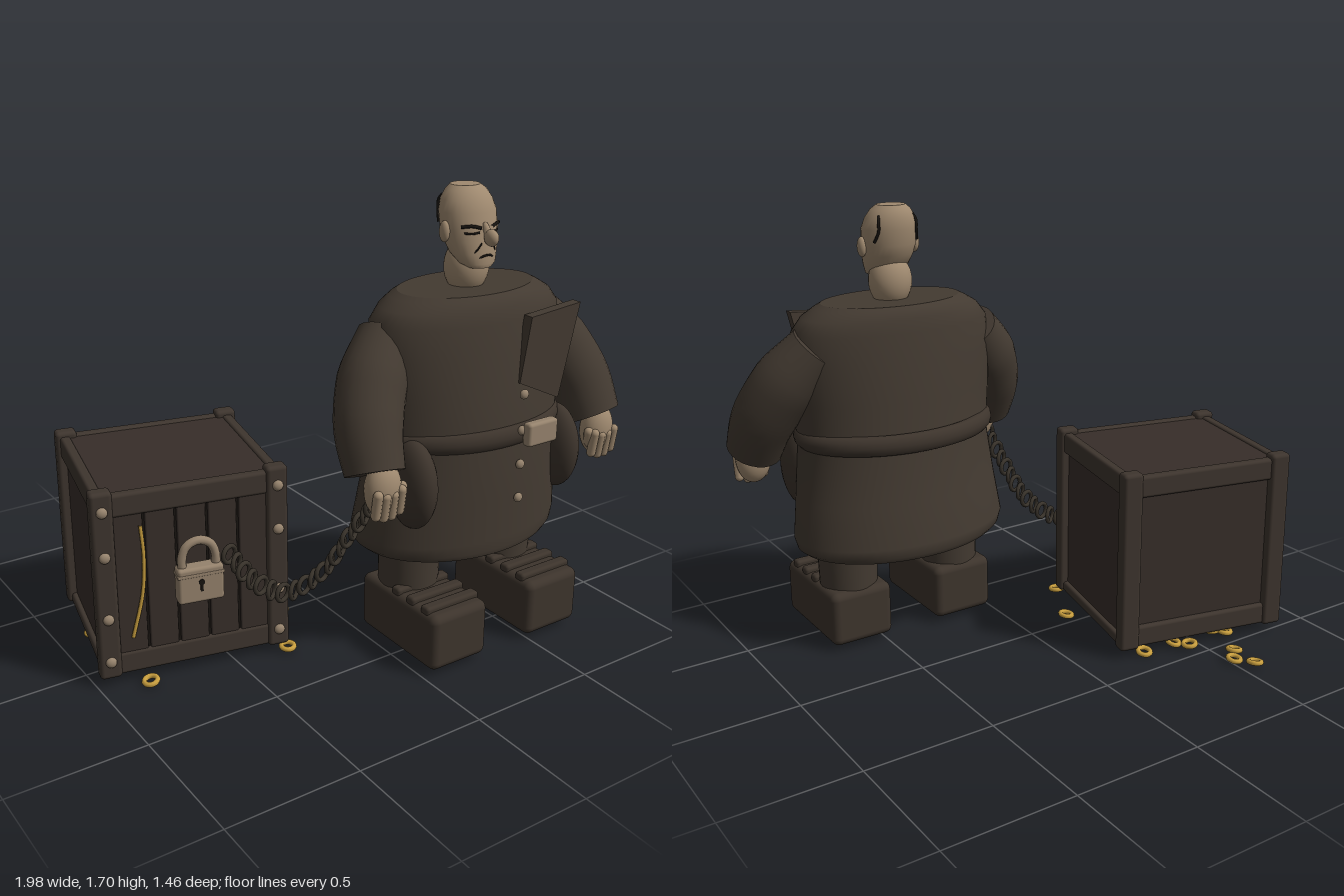
import * as THREE from 'three';
import { RoundedBoxGeometry } from 'three/addons/geometries/RoundedBoxGeometry.js';

const V = (x, y, z) => new THREE.Vector3(x, y, z);
const paint = (name, color) => {
  const m = new THREE.MeshStandardMaterial({ color });
  m.name = name;
  return m;
};

// Skin over successive closed rings of points, with flat end caps
function loft(rings) {
  const n = rings[0].length, pos = [], idx = [];
  const push = (p) => pos.push(p.x, p.y, p.z) / 3 - 1;
  rings.forEach((r) => r.forEach(push));
  for (let i = 0; i < rings.length - 1; i++)
    for (let j = 0; j < n; j++) {
      const a = i * n + j, b = i * n + (j + 1) % n;
      idx.push(a, b, b + n, a, b + n, a + n);
    }
  [rings[0], rings[rings.length - 1]].forEach((r, end) => {
    const c = push(r.reduce((s, p) => s.add(p), V(0, 0, 0)).divideScalar(n));
    const first = r.map(push)[0];
    for (let j = 0; j < n; j++) {
      const a = first + j, b = first + (j + 1) % n;
      idx.push(c, ...(end ? [a, b] : [b, a]));
    }
  });
  const g = new THREE.BufferGeometry();
  g.setAttribute('position', new THREE.Float32BufferAttribute(pos, 3));
  g.setIndex(idx);
  g.computeVertexNormals();
  return g;
}

// Horizontal ellipses: [y, centre z, x radius, z radius]
const stack = (sections, n = 40) => loft(sections.map(([y, z, rx, rz]) =>
  Array.from({ length: n }, (_, j) => {
    const a = j / n * Math.PI * 2;
    return V(rx * Math.sin(a), y, z + rz * Math.cos(a));
  })));

// Round limb along a curve whose radius follows a list
function limb(points, radii, steps = 14, n = 24) {
  const curve = new THREE.CatmullRomCurve3(points);
  const f = curve.computeFrenetFrames(steps);
  const rings = [];
  for (let i = 0; i <= steps; i++) {
    const t = i / steps, k = t * (radii.length - 1), k0 = Math.min(Math.floor(k), radii.length - 2);
    const r = THREE.MathUtils.lerp(radii[k0], radii[k0 + 1], k - k0), c = curve.getPointAt(t);
    rings.push(Array.from({ length: n }, (_, j) => {
      const a = j / n * Math.PI * 2;
      return c.clone().addScaledVector(f.normals[i], r * Math.cos(a)).addScaledVector(f.binormals[i], r * Math.sin(a));
    }));
  }
  return loft(rings);
}

const tube = (pts, r, n = 16) => new THREE.TubeGeometry(new THREE.CatmullRomCurve3(pts), n, r, 6);
const ball = (rx, ry, rz) => new THREE.SphereGeometry(1, 24, 16).scale(rx, ry, rz);
const block = (w, h, d, r = 0.012) => new RoundedBoxGeometry(w, h, d, 3, r);

export function createModel() {
  const coat = paint('coat cloth', 0x433a31), leather = paint('dark leather', 0x3d342c);
  const skin = paint('skin', 0xa08a70), ink = paint('black lines', 0x17130f);
  const iron = paint('safe iron', 0x3e352e), panel = paint('safe panels', 0x372e29);
  const brass = paint('dull metal', 0x96836d), gold = paint('gold', 0xc99f3f);
  const steel = paint('chain iron', 0x38322a);

  const model = new THREE.Group();
  const add = (parent, name, geo, mat, x = 0, y = 0, z = 0, rx = 0, ry = 0, rz = 0) => {
    const m = new THREE.Mesh(geo, mat);
    m.name = name;
    m.position.set(x, y, z);
    m.rotation.set(rx, ry, rz);
    parent.add(m);
    return m;
  };

  // Man
  const man = new THREE.Group();
  man.name = 'man';
  man.position.x = 0.374;
  model.add(man);
  add(man, 'coat', stack([[0.4, 0.39, 0.40, 0.275], [0.42, 0.387, 0.425, 0.285], [0.46, 0.385, 0.437, 0.287],
    [0.62, 0.4, 0.415, 0.276], [0.82, 0.413, 0.39, 0.264], [1.0, 0.41, 0.405, 0.249], [1.15, 0.407, 0.41, 0.232],
    [1.26, 0.405, 0.4, 0.217], [1.31, 0.403, 0.36, 0.207], [1.34, 0.4, 0.31, 0.19], [1.355, 0.4, 0.28, 0.172]], 56), coat);

  // Belt: a ring stretched to an oval
  const belt = new THREE.TorusGeometry(1, 0.1, 12, 56).rotateX(Math.PI / 2).scale(0.37, 0.4, 0.262);
  add(man, 'belt', belt, leather, 0, 0.855, 0.405);
  add(man, 'buckle', block(0.138, 0.088, 0.04), brass, 0.11, 0.862, 0.71);
  for (const y of [1.01, 0.875, 0.745, 0.615])
    add(man, 'button', ball(0.018, 0.018, 0.013), brass, 0.041, y, 0.69);

  const flap = new THREE.Shape([[0.086, 1.275], [0.046, 1.04], [0.236, 0.95], [0.316, 1.295]].map((p) => new THREE.Vector2(...p)));
  add(man, 'lapel', new THREE.ExtrudeGeometry(flap, { depth: 0.04, bevelEnabled: false }), coat, 0, 0, 0.62);

  for (const s of [-1, 1]) {
    // Sleeve and fist
    add(man, 'sleeve', limb([V(s * 0.33, 1.21, 0.37), V(s * 0.434, 1.07, 0.435), V(s * 0.497, 0.93, 0.505), V(s * 0.515, 0.80, 0.57)],
      [0.1, 0.125, 0.122, 0.106]), coat);
    add(man, 'hand', ball(0.07, 0.1, 0.055), skin, s * 0.508, 0.755, 0.605);
    for (let i = 0; i < 4; i++)
      add(man, 'finger', new THREE.CapsuleGeometry(0.018, 0.08, 6, 10), skin,
        s * (0.508 + (i - 1.5) * 0.033), 0.715 + (i % 3 ? -0.012 : 0), 0.642, 0.15);
    add(man, 'thumb', new THREE.CapsuleGeometry(0.019, 0.05, 6, 10), skin, s * 0.452, 0.735, 0.625, 0.2, 0, s * 0.3);

    add(man, 'hipPouch', ball(0.07, 0.167, 0.118), leather, s * 0.338, 0.71, 0.552);

    // Leg and boot
    add(man, 'leg', new THREE.CylinderGeometry(0.12, 0.112, 0.26, 32), coat, s * 0.227, 0.34, 0.405);
    add(man, 'boot', block(0.255, 0.22, 0.44, 0.03), leather, s * 0.227, 0.14, 0.5);
    for (const z of [0.65, 0.565, 0.48])
      add(man, 'bootStrap', block(0.24, 0.035, 0.045), leather, s * 0.227, 0.252, z);

    // Paired face parts
    add(man, 'ear', ball(0.017, 0.038, 0.022), skin, s * 0.11, 1.555, 0.405);
    add(man, 'brow', tube([V(s * 0.024, 1.572, 0.498), V(s * 0.055, 1.58, 0.488), V(s * 0.085, 1.576, 0.462)], 0.006), ink);
    add(man, 'eye', tube([V(s * 0.026, 1.556, 0.493), V(s * 0.05, 1.553, 0.486), V(s * 0.075, 1.554, 0.468)], 0.004), ink);
    add(man, 'cheekLine', tube([V(s * 0.022, 1.52, 0.503), V(s * 0.036, 1.502, 0.501), V(s * 0.046, 1.486, 0.493)], 0.003), ink);
    add(man, 'hairLine', tube([V(s * 0.07, 1.672, 0.34), V(s * 0.077, 1.65, 0.327), V(s * 0.078, 1.615, 0.327), V(s * 0.088, 1.575, 0.345)], 0.006), ink);
  }

  // Neck and head
  add(man, 'neck', ball(0.084, 0.105, 0.078), skin, 0, 1.42, 0.4);
  add(man, 'head', stack([[1.43, 0.47, 0.045, 0.035], [1.445, 0.455, 0.07, 0.055], [1.48, 0.43, 0.088, 0.078],
    [1.52, 0.415, 0.1, 0.087], [1.56, 0.403, 0.106, 0.092], [1.62, 0.393, 0.109, 0.091], [1.66, 0.385, 0.096, 0.083],
    [1.69, 0.38, 0.077, 0.067], [1.707, 0.375, 0.055, 0.05]], 32), skin);
  add(man, 'noseBridge', limb([V(0, 1.585, 0.485), V(0, 1.56, 0.503), V(0, 1.53, 0.52)], [0.01, 0.014, 0.02], 8, 12), skin);
  add(man, 'noseTip', ball(0.022, 0.03, 0.03), skin, 0, 1.54, 0.526);
  add(man, 'mouth', tube([V(-0.034, 1.466, 0.498), V(-0.012, 1.476, 0.509), V(0.012, 1.476, 0.509), V(0.034, 1.466, 0.498)], 0.004), ink);

  // Safe, turned a little away from the man
  const safe = new THREE.Group();
  safe.name = 'safe';
  safe.position.set(-0.575, 0, -0.13);
  safe.rotation.y = -0.215;
  model.add(safe);
  add(safe, 'safeBody', new THREE.BoxGeometry(0.64, 0.69, 0.6), panel, 0, 0.39, 0);
  for (const sx of [-1, 1]) {
    for (const sz of [-1, 1])
      add(safe, 'cornerPost', block(0.08, 0.72, 0.06, 0.015), iron, sx * 0.315, 0.4, sz * 0.3);
    for (const [y, h] of [[0.7, 0.085], [0.06, 0.04]])
      add(safe, 'sideRail', block(0.04, h, 0.58), iron, sx * 0.32, y, 0);
    for (const y of [0.69, 0.52, 0.28, 0.11])
      add(safe, 'rivet', ball(0.02, 0.02, 0.014), brass, sx * 0.315, y, 0.333);
  }
  for (const sz of [-1, 1])
    for (const [y, h] of [[0.7, 0.085], [0.088, 0.085]])
      add(safe, 'crossRail', block(0.6, h, 0.04), iron, 0, y, sz * 0.3);
  for (let i = 0; i < 5; i++)
    add(safe, 'doorPlank', block(0.104, 0.55, 0.02, 0.006), panel, (i - 2) * 0.113, 0.4, 0.304);
  for (let i = 0; i < 4; i++)
    add(safe, 'plankGap', new THREE.BoxGeometry(0.009, 0.55, 0.006), ink, (i - 1.5) * 0.113, 0.4, 0.302);
  add(safe, 'goldCord', tube([V(-0.185, 0.62, 0.325), V(-0.178, 0.5, 0.325), V(-0.188, 0.36, 0.325), V(-0.23, 0.19, 0.325)], 0.007, 30), gold);

  // Padlock
  add(safe, 'lockBody', block(0.166, 0.135, 0.06), brass, 0, 0.4, 0.39);
  const arch = [V(-0.06, 0.44, 0.39), V(-0.06, 0.5, 0.39), V(-0.042, 0.543, 0.39), V(0, 0.56, 0.39),
    V(0.042, 0.543, 0.39), V(0.06, 0.5, 0.39), V(0.06, 0.44, 0.39)];
  add(safe, 'lockShackle', new THREE.TubeGeometry(new THREE.CatmullRomCurve3(arch), 32, 0.016, 10), brass);
  add(safe, 'lockBand', block(0.17, 0.012, 0.064, 0.003), brass, 0, 0.44, 0.39);
  add(safe, 'keyhole', new THREE.CylinderGeometry(0.011, 0.011, 0.006, 16), ink, 0, 0.412, 0.42, Math.PI / 2);
  add(safe, 'keyholeSlot', new THREE.BoxGeometry(0.01, 0.035, 0.006), ink, 0, 0.395, 0.42);

  // Chain from the lock to the hand
  const sag = new THREE.CatmullRomCurve3([V(-0.535, 0.47, 0.25), V(-0.46, 0.36, 0.3), V(-0.37, 0.315, 0.355),
    V(-0.26, 0.4, 0.43), V(-0.195, 0.54, 0.49), V(-0.155, 0.68, 0.57)]);
  const link = new THREE.TorusGeometry(0.031, 0.009, 8, 18);
  for (let i = 0; i < 19; i++) {
    const p = sag.getPointAt(i / 18);
    add(model, 'chainLink', link, steel, p.x, p.y, p.z, 0, 0.45 + (i % 2 ? 0.15 : -0.15), 0);
  }

  // Ring coins spilled on the floor
  let seed = 11;
  const rand = () => (seed = (seed * 16807) % 2147483647) / 2147483647;
  const spots = [[-0.55, -0.7], [-0.51, -0.63], [-0.55, -0.585], [-0.44, -0.45], [-0.4, -0.4], [-0.19, 0.03], [-0.83, 0.18], [-0.305, 0.265]];
  for (let i = 0; i < 20; i++) {
    const lx = (rand() - 0.5) * 0.62, lz = (rand() - 0.5) * 0.66;
    spots.push([-0.575 + lx * 0.977 - lz * 0.213, -0.13 + lx * 0.213 + lz * 0.977]);
  }
  const coin = new THREE.TorusGeometry(0.024, 0.01, 8, 18).rotateX(Math.PI / 2);
  for (const [x, z] of spots)
    add(model, 'coin', coin, gold, x, 0.022 + rand() * 0.012, z, (rand() - 0.5) * 0.4, 0, (rand() - 0.5) * 0.4);

  return model;
}
